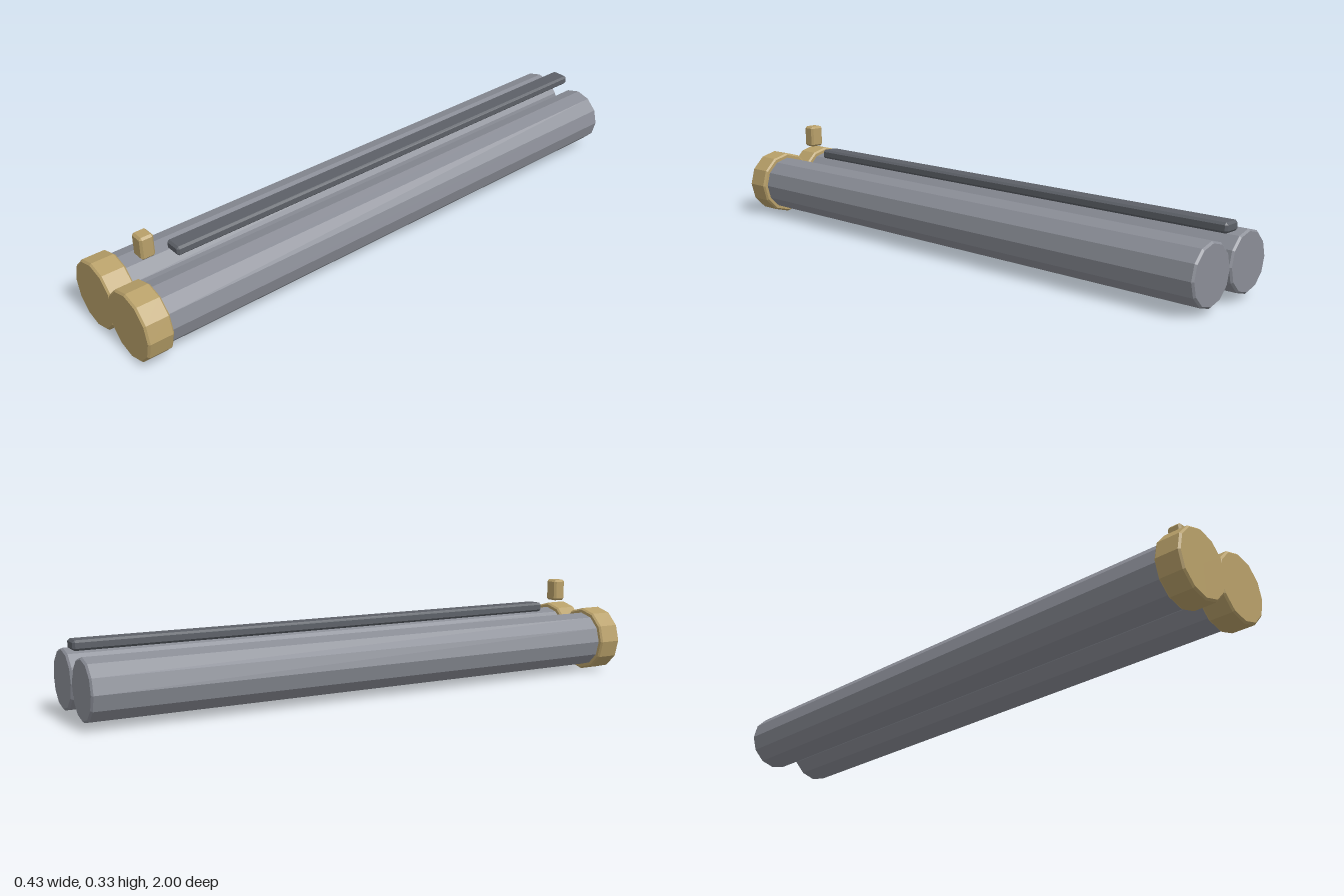
import * as THREE from 'three';
import { ConvexGeometry } from 'three/addons/geometries/ConvexGeometry.js';

const material = (name, color) => {
  const m = new THREE.MeshStandardMaterial({ color });
  m.name = name;
  return m;
};

// Twelve-sided tube along z with chamfered rims and closed ends
function facetedTube(radius, zBack, zFront, bevel) {
  const profile = [
    [0, zBack], [radius - bevel, zBack], [radius, zBack + bevel],
    [radius, zFront - bevel], [radius - bevel, zFront], [0, zFront],
  ].map(([r, z]) => new THREE.Vector2(r, z));
  const geometry = new THREE.LatheGeometry(profile, 12).toNonIndexed();
  geometry.rotateX(Math.PI / 2);
  geometry.computeVertexNormals();
  return geometry;
}

// Box with flat chamfers on every edge
function chamferedBox(width, height, depth, bevel) {
  const points = [];
  for (const sx of [-1, 1]) for (const sy of [-1, 1]) for (const sz of [-1, 1]) {
    for (let axis = 0; axis < 3; axis++) {
      const p = [width, height, depth].map((s, i) => s / 2 - (i === axis ? 0 : bevel));
      points.push(new THREE.Vector3(sx * p[0], sy * p[1], sz * p[2]));
    }
  }
  return new ConvexGeometry(points);
}

export function createModel() {
  const model = new THREE.Group();
  model.name = 'doubleBarrel';
  const steel = material('steel', 0x8a8d96);
  const darkSteel = material('darkSteel', 0x5c6067);
  const brass = material('brass', 0xb8a069);

  const add = (name, geometry, mat, x, y, z) => {
    const mesh = new THREE.Mesh(geometry, mat);
    mesh.name = name;
    mesh.position.set(x, y, z);
    model.add(mesh);
  };

  // Side-by-side barrels with muzzle collars
  const barrel = facetedTube(0.098, -1, 0.95, 0.006);
  const collar = facetedTube(0.115, 0.913, 1, 0.006);
  for (const [side, x] of [['left', 0.098], ['right', -0.098]]) {
    add(side + 'Barrel', barrel, steel, x, 0.116, 0);
    add(side + 'Collar', collar, brass, x, 0.116, 0);
  }

  // Sighting rib and front sight
  add('rib', chamferedBox(0.064, 0.032, 1.775, 0.007), darkSteel, 0, 0.237, -0.1125);
  add('frontSight', chamferedBox(0.052, 0.077, 0.048, 0.007), brass, 0, 0.2945, 0.867);

  return model;
}
